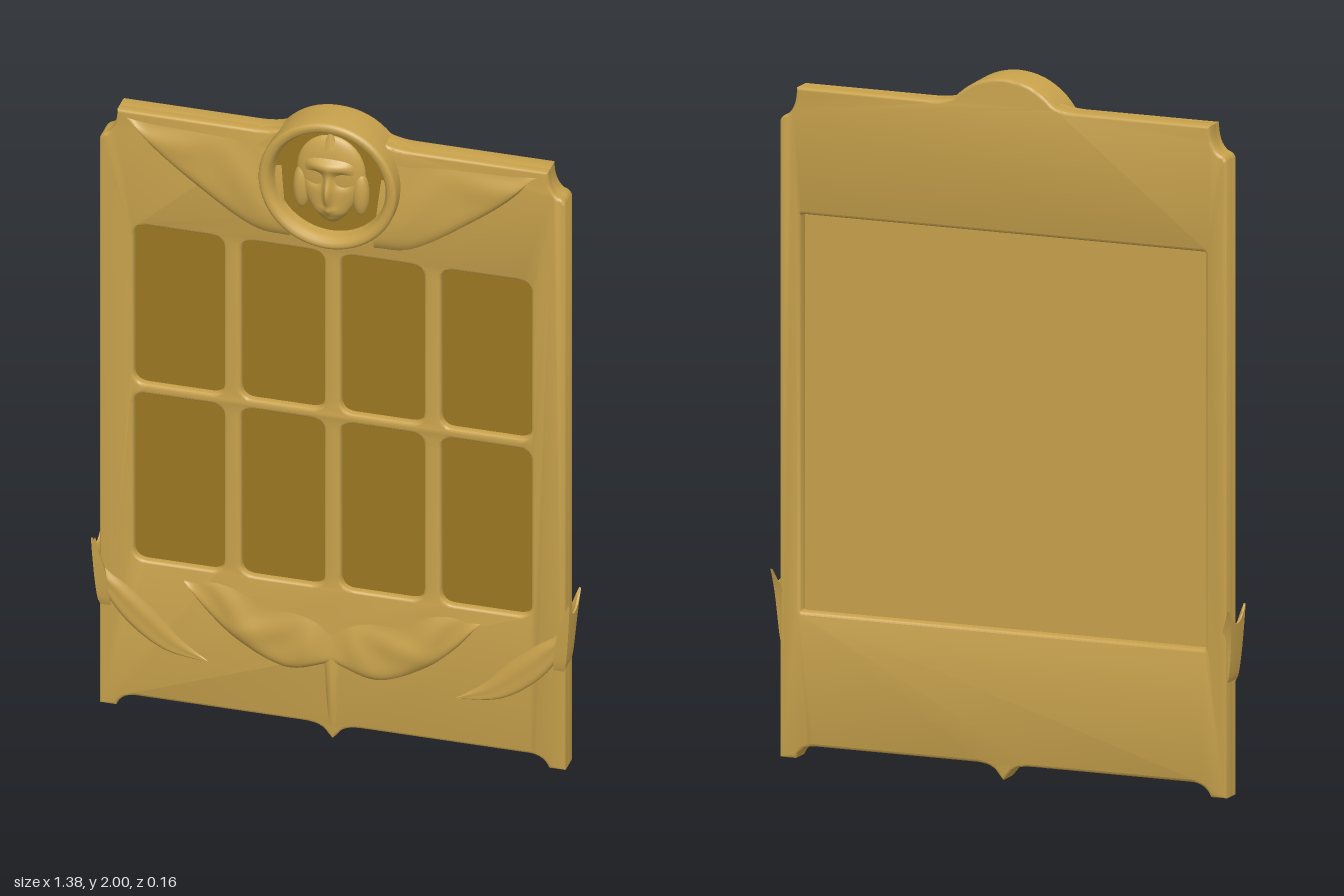
import * as THREE from 'three';
import { toCreasedNormals } from 'three/addons/utils/BufferGeometryUtils.js';

const FRONT = 0.015, BACK = -0.06;
const bump = (x, c, w) => Math.exp(-(((x - c) / w) ** 2));

// Right half of the board outline, mirrored into a closed shape
function boardShape() {
  const s = new THREE.Shape();
  const half = [
    ['L', 0.015, 0.022], ['Q', 0.03, 0.05, 0.085, 0.05], ['L', 0.57, 0.05],
    ['Q', 0.61, 0.048, 0.625, 0.012], ['L', 0.672, 0.012], ['L', 0.672, 1.82],
    ['Q', 0.668, 1.835, 0.65, 1.84], ['Q', 0.622, 1.86, 0.622, 1.918], ['L', 0.23, 1.918],
    ['Q', 0.18, 1.918, 0.15, 1.93], ['Q', 0.09, 1.997, 0, 1.997],
  ];
  const pts = [new THREE.Vector2(0, 0.005)];
  for (const [k, a, b, c, d] of half) {
    const from = pts[pts.length - 1];
    if (k === 'L') pts.push(new THREE.Vector2(a, b));
    else pts.push(...new THREE.QuadraticBezierCurve(from.clone(),
      new THREE.Vector2(a, b), new THREE.Vector2(c, d)).getPoints(8).slice(1));
  }
  const left = pts.slice(1, -1).reverse().map(p => new THREE.Vector2(-p.x, p.y));
  return s.setFromPoints([...pts, ...left]);
}

function roundedHole(x0, x1, y0, y1, r) {
  const p = new THREE.Path();
  p.moveTo(x0 + r, y0);
  p.lineTo(x1 - r, y0); p.quadraticCurveTo(x1, y0, x1, y0 + r);
  p.lineTo(x1, y1 - r); p.quadraticCurveTo(x1, y1, x1 - r, y1);
  p.lineTo(x0 + r, y1); p.quadraticCurveTo(x0, y1, x0, y1 - r);
  p.lineTo(x0, y0 + r); p.quadraticCurveTo(x0, y0, x0 + r, y0);
  return p;
}

// Bevelled slab between two depths
function slab(shape, z0, z1, bevel) {
  const g = new THREE.ExtrudeGeometry(shape, {
    depth: z1 - z0 - 2 * bevel, bevelEnabled: true, bevelThickness: bevel,
    bevelSize: bevel, bevelOffset: -bevel, bevelSegments: 3, curveSegments: 6,
  });
  g.translate(0, 0, z0 + bevel);
  return toCreasedNormals(g, 0.6);
}

// Smooth grid surface from a rule point(u, v); flip reverses the faces
function gridSurface(nu, nv, point, flip = false) {
  const pos = [], idx = [];
  for (let i = 0; i <= nu; i++)
    for (let j = 0; j <= nv; j++) pos.push(...point(i / nu, j / nv));
  for (let i = 0; i < nu; i++)
    for (let j = 0; j < nv; j++) {
      const a = i * (nv + 1) + j, b = a + nv + 1;
      if (flip) idx.push(a, b + 1, b, a, a + 1, b + 1);
      else idx.push(a, b, b + 1, a, b + 1, a + 1);
    }
  const g = new THREE.BufferGeometry();
  g.setAttribute('position', new THREE.Float32BufferAttribute(pos, 3));
  g.setIndex(idx);
  g.computeVertexNormals();
  return g;
}

// Carved relief between an upper and a lower edge curve
function relief(upper, lower, height, side) {
  const curve = pts => new THREE.CatmullRomCurve3(pts.map(([x, y]) => new THREE.Vector3(x, y, 0)));
  const a = curve(upper), b = curve(lower);
  return gridSurface(40, 24, (u, v) => {
    const p = a.getPoint(u).lerp(b.getPoint(u), v);
    return [side * p.x, p.y, FRONT - 0.002 + height(u, v)];
  }, side < 0);
}

// Rises gently from the upper edge and drops sharply at the lower one
const lip = v => Math.pow(v, 1.3) * (1 - Math.pow(v, 14));

export function createModel() {
  const group = new THREE.Group();
  const gold = new THREE.MeshStandardMaterial({ color: 0xc8a24c });
  gold.name = 'gold';
  const darkGold = new THREE.MeshStandardMaterial({ color: 0x9c7722 });
  darkGold.name = 'darkGold';
  const add = (name, geometry, material = gold) => {
    const m = new THREE.Mesh(geometry, material);
    m.name = name;
    group.add(m);
    return m;
  };

  // Front frame with eight windows, and their dark panes
  const columns = [[-0.575, -0.312], [-0.265, -0.023], [0.023, 0.265], [0.312, 0.575]];
  const rows = [[0.487, 1.022], [1.052, 1.56]];
  const front = boardShape();
  for (const [x0, x1] of columns)
    for (const [y0, y1] of rows) {
      front.holes.push(roundedHole(x0, x1, y0, y1, 0.04));
      const pane = add('windowPane', new THREE.BoxGeometry(x1 - x0 + 0.01, y1 - y0 + 0.01, 0.006), darkGold);
      pane.position.set((x0 + x1) / 2, (y0 + y1) / 2, -0.011);
    }
  add('frontFrame', slab(front, -0.022, FRONT, 0.008));

  // Back frame around a shallow recess
  const back = boardShape();
  back.holes.push(roundedHole(-0.61, 0.61, 0.43, 1.56, 0.006));
  add('backFrame', slab(back, BACK, 0, 0.008));
  add('backPanel', new THREE.BoxGeometry(1.24, 1.15, 0.012)).position.set(0, 0.995, -0.02);

  // Round medallion: rim and dark dish
  const rim = [[0.19, -0.05], [0.199, -0.04], [0.2, 0.058], [0.196, 0.067], [0.188, 0.07],
    [0.176, 0.068], [0.169, 0.06], [0.163, 0.045], [0.16, 0.0]].map(p => new THREE.Vector2(...p));
  const rimGeo = new THREE.LatheGeometry(rim, 64);
  rimGeo.rotateX(Math.PI / 2);
  add('medallionRim', rimGeo).position.y = 1.8;
  const dish = new THREE.CylinderGeometry(0.165, 0.165, 0.008, 48);
  dish.rotateX(Math.PI / 2);
  add('medallionDish', dish, darkGold).position.set(0, 1.8, 0.018);

  // Hair behind the face
  const hair = new THREE.SphereGeometry(1, 32, 20);
  hair.scale(0.1, 0.115, 0.03);
  add('hair', hair).position.set(0, 1.828, 0.02);
  for (const s of [-1, 1]) {
    const lock = new THREE.SphereGeometry(1, 16, 12);
    lock.scale(0.025, 0.07, 0.025);
    const m = add('hairLock', lock);
    m.position.set(s * 0.085, 1.77, 0.022);
  }
  const crest = new THREE.ConeGeometry(0.025, 0.06, 12);
  crest.scale(1, 1, 0.6);
  add('crest', crest).position.set(0, 1.935, 0.03);

  // Face mask: oval, narrowing to the chin, with brow, nose, eyes and mouth
  const face = gridSurface(32, 40, (u, v) => {
    const t = 2 * u - 1, y = 1.915 - 0.25 * v;
    const w = 0.088 * Math.pow(Math.sin(Math.PI * (0.06 + 0.93 * Math.pow(v, 0.85))), 0.65);
    const x = t * w;
    let z = 0.02 + 0.036 * Math.sqrt(Math.max(0, 1 - t * t)) * Math.min(1, 5 * v, 6 * (1 - v));
    z += 0.026 * bump(x, 0, 0.011) * bump(y, 1.775, 0.045);
    z += 0.01 * bump(y, 1.855, 0.016) * (1 - t * t);
    z -= 0.018 * bump(Math.abs(x), 0.038, 0.022) * bump(y, 1.815, 0.02);
    z += 0.007 * bump(x, 0, 0.02) * (bump(y, 1.722, 0.008) + bump(y, 1.685, 0.012));
    return [x, y, z];
  }, true);
  // the grid runs left to right and downward, hence the flipped faces
  add('face', face);

  for (const s of [-1, 1]) {
    // Draped wing beside the medallion
    add('wing', relief(
      [[0.6, 1.9], [0.5, 1.9], [0.36, 1.89], [0.25, 1.89], [0.15, 1.88]],
      [[0.58, 1.895], [0.52, 1.82], [0.4, 1.72], [0.22, 1.605], [0.12, 1.595]],
      (u, v) => 0.016 * lip(v) + Math.sin(Math.PI * v) * (0.012 * u * u + 0.008 * bump(u + 0.3 * v, 0.5, 0.14)
        + 0.007 * bump(u - 0.25 * v, 0.6, 0.12)), s));

    // Acanthus leaf curling round the lower corner
    add('cornerLeaf', relief(
      [[0.685, 0.54], [0.655, 0.455], [0.58, 0.41], [0.5, 0.35], [0.43, 0.27], [0.36, 0.2]],
      [[0.688, 0.53], [0.676, 0.43], [0.64, 0.345], [0.57, 0.265], [0.48, 0.21], [0.36, 0.193]],
      (u, v) => (1 - 0.75 * u) * (0.022 * lip(v) + 0.008 * bump(v, 0.45, 0.2)), s));

    // Leaf tip wrapping the side of the board
    const tip = new THREE.BoxGeometry(1, 1, 1, 2, 14, 12);
    const p = tip.attributes.position;
    for (let i = 0; i < p.count; i++) {
      const t = p.getY(i) + 0.5, w = p.getZ(i) * 2;
      const flare = t * t;
      const outer = 0.668 + 0.023 * Math.sqrt(t);
      const inner = 0.64 + 0.045 * flare;
      const zf = 0.016 + 0.019 * Math.sqrt(t), zb = BACK + 0.01 - 0.03 * t * t * t;
      p.setXYZ(i, s * (p.getX(i) > 0.1 ? outer : p.getX(i) < -0.1 ? inner : (outer + inner) / 2),
        0.33 + t * (0.175 + 0.045 * w * w), w > 0 ? w * zf - 0.02 * (1 - w) : -w * zb - 0.02 * (1 + w));
    }
    if (s < 0) {
      const ix = tip.index.array;
      for (let i = 0; i < ix.length; i += 3) [ix[i], ix[i + 1]] = [ix[i + 1], ix[i]];
    }
    add('cornerLeafTip', toCreasedNormals(tip, 0.7));

    // Lower centre foliage with soft folds
    add('centreLeaf', relief(
      [[0.43, 0.445], [0.33, 0.455], [0.2, 0.43], [0.08, 0.39], [0, 0.36]],
      [[0.42, 0.435], [0.36, 0.355], [0.27, 0.275], [0.13, 0.213], [0, 0.25]],
      (u, v) => 0.014 * lip(v) + Math.sin(Math.PI * v) * (0.01 * bump(u - 0.3 * v, 0.25, 0.12)
        + 0.012 * bump(u, 0.82, 0.1) + 0.008 * bump(u + 0.3 * v, 0.75, 0.09)), s));
  }

  // Fine keel running down to the bottom point
  add('centreKeel', gridSurface(10, 16, (u, v) => {
    const t = 2 * u - 1;
    return [t * 0.028 * (1 - 0.6 * v), 0.3 - 0.27 * v,
      FRONT - 0.002 + 0.014 * Math.sin(Math.PI * (0.15 + 0.85 * v)) * (1 - t * t)];
  }, true));

  return group;
}
